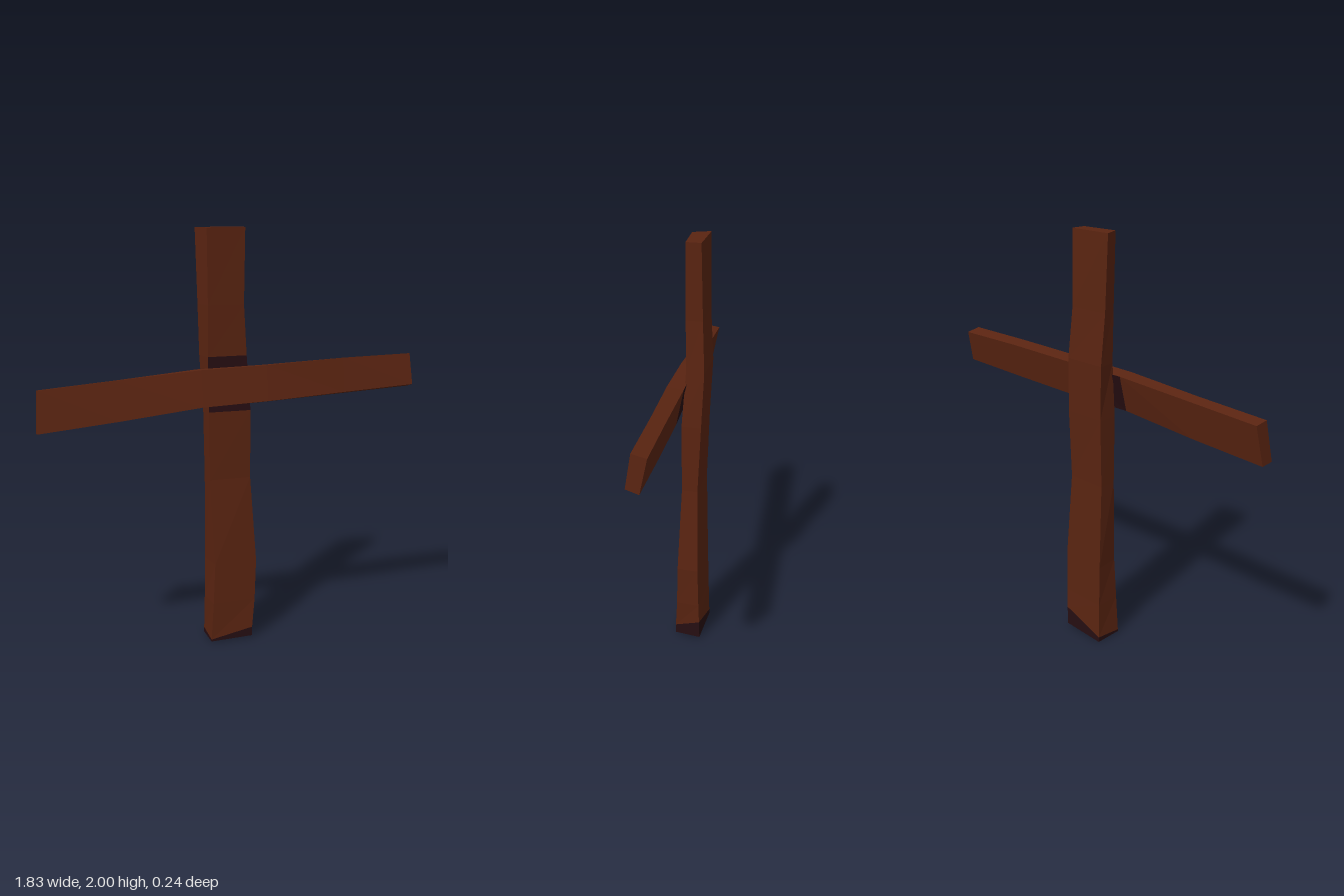
import * as THREE from 'three';

const wood = new THREE.MeshStandardMaterial({ color: 0x5a2411 });
wood.name = 'brown wood';
const stain = new THREE.MeshStandardMaterial({ color: 0x260e12 });
stain.name = 'dark stain';

// Lofts a plank through four-cornered rings; isDark(segment, side) picks the stained faces
function plank(name, rings, isDark) {
  const quads = [[], []];
  const quad = (dark, a, b, c, d) => quads[dark ? 1 : 0].push(...a, ...b, ...c, ...a, ...c, ...d);
  for (let i = 0; i < rings.length - 1; i++) {
    for (let k = 0; k < 4; k++) {
      const n = (k + 1) % 4;
      quad(isDark(i, k), rings[i][k], rings[i][n], rings[i + 1][n], rings[i + 1][k]);
    }
  }
  const [p, q, r, s] = rings[0];
  quad(false, s, r, q, p);
  quad(false, ...rings[rings.length - 1]);

  const geometry = new THREE.BufferGeometry();
  geometry.setAttribute('position', new THREE.Float32BufferAttribute(quads.flat(), 3));
  geometry.addGroup(0, quads[0].length / 3, 0);
  geometry.addGroup(quads[0].length / 3, quads[1].length / 3, 1);
  geometry.computeVertexNormals();
  const mesh = new THREE.Mesh(geometry, [wood, stain]);
  mesh.name = name;
  return mesh;
}

export function createModel() {
  const group = new THREE.Group();
  group.name = 'woodenCross';

  // Upright: front left, front right, back right, back left as x, z at each height
  const postRing = (y, a, b, c, d, e, f, g, h) => {
    const ys = Array.isArray(y) ? y : [y, y, y, y];
    return [[a, ys[0], b], [c, ys[1], d], [e, ys[2], f], [g, ys[3], h]];
  };
  const post = [
    postRing([0.005, 0.01, 0.01, 0], -0.11, 0.02, 0.1, 0.01, 0.115, -0.115, -0.115, -0.115),
    postRing([0.015, 0.055, 0.1, 0.025], -0.11, 0.02, 0.1, 0.01, 0.118, -0.113, -0.115, -0.115),
    postRing(0.2, -0.098, 0.018, 0.115, 0.0, 0.122, -0.11, -0.112, -0.11),
    postRing(0.4, -0.088, 0.013, 0.123, -0.005, 0.125, -0.105, -0.11, -0.105),
    postRing(0.82, -0.106, -0.01, 0.095, -0.02, 0.095, -0.095, -0.112, -0.095),
    postRing(1.15, -0.11, -0.01, 0.095, -0.018, 0.095, -0.11, -0.115, -0.105),
    postRing(1.41, -0.11, -0.025, 0.08, -0.035, 0.083, -0.12, -0.13, -0.115),
    postRing(1.65, -0.11, -0.02, 0.065, -0.03, 0.065, -0.108, -0.14, -0.1),
    postRing(2, -0.115, -0.015, 0.07, -0.03, 0.07, -0.1, -0.152, -0.095),
  ];
  // Stained foot, and stain on the front behind the crossbeam
  group.add(plank('uprightPost', post, (i, k) => i === 0 || (i === 5 && k === 0)));

  // Crossbeam: front bottom, back bottom, back top, front top as y, z at each x
  const beamRing = (x, a, b, c, d, e, f, g, h, lean = 0) => [
    [x + lean, a, b], [x + lean, c, d], [x, e, f], [x, g, h]];
  const beam = [
    beamRing(-0.905, 1.122, 0.12, 1.115, 0.06, 1.3, 0.02, 1.31, 0.085, -0.012),
    beamRing(-0.55, 1.153, 0.095, 1.145, 0.035, 1.325, 0.0, 1.335, 0.06),
    beamRing(-0.16, 1.195, 0.083, 1.183, 0.015, 1.355, -0.028, 1.362, 0.046),
    beamRing(0.16, 1.205, 0.062, 1.188, -0.01, 1.36, -0.045, 1.37, 0.032),
    beamRing(0.55, 1.222, 0.024, 1.205, -0.035, 1.372, -0.067, 1.385, 0.0),
    beamRing(0.905, 1.24, 0.003, 1.222, -0.055, 1.375, -0.086, 1.39, -0.02, 0.01),
  ];
  // Stain on the back where the beam meets the post
  group.add(plank('crossbeam', beam, (i, k) => i === 2 && k === 1));

  return group;
}
